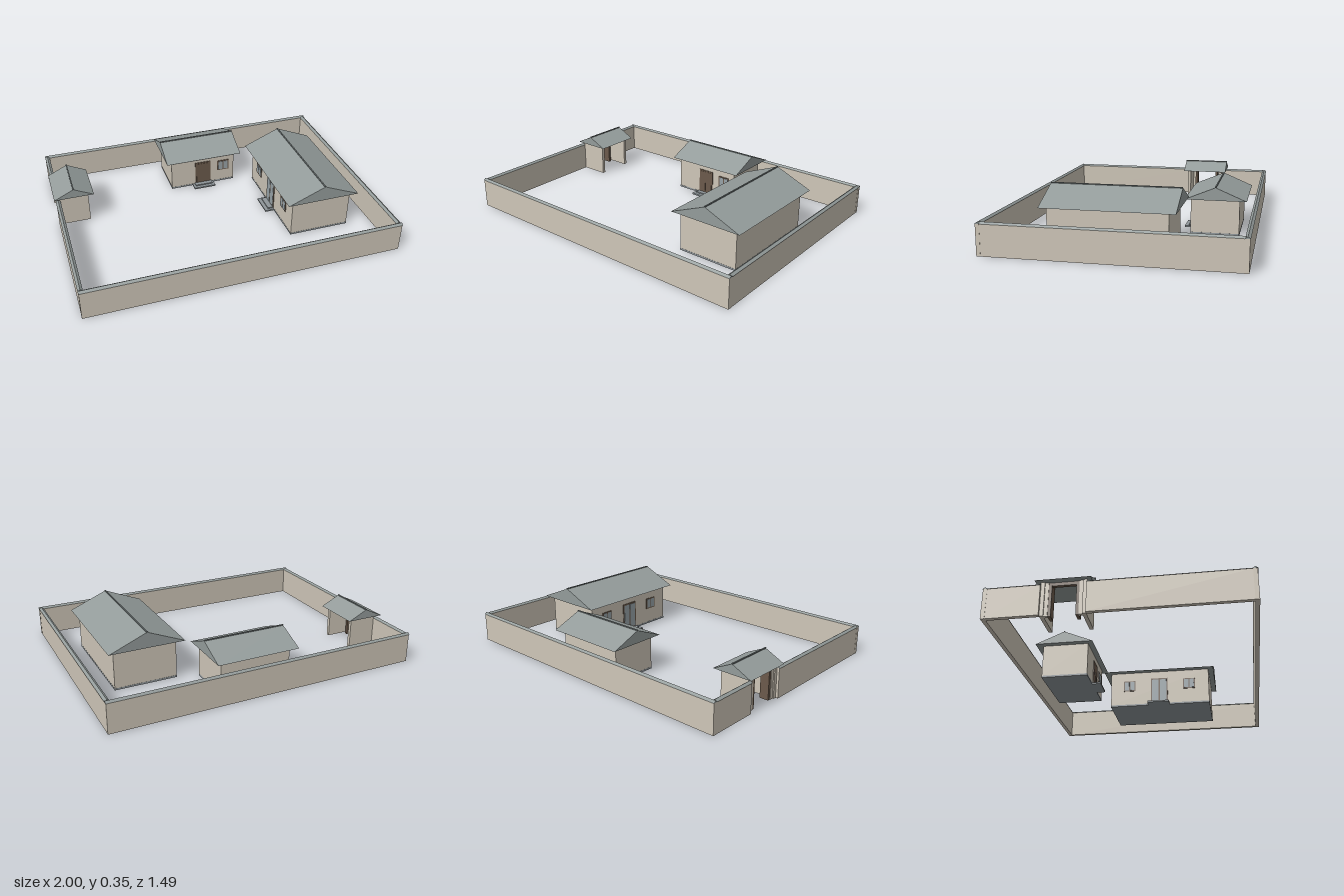
import * as THREE from 'three';

const mat = (name, color) => {
  const m = new THREE.MeshStandardMaterial({ color, flatShading: true });
  m.name = name;
  return m;
};

export function createModel() {
  const plaster = mat('plaster', 0xcec6b8);
  const slate = mat('slate', 0x949c9b);
  const ridgeTile = mat('ridgeTile', 0x747c7c);
  const stone = mat('stone', 0x8f969a);
  const wood = mat('wood', 0x6b5a4b);
  const glass = mat('glass', 0x98a3a8);

  const root = new THREE.Group();
  root.name = 'courtyard';

  const group = (name) => {
    const g = new THREE.Group();
    g.name = name;
    root.add(g);
    return g;
  };

  // Box given by its lower and upper corner
  const box = (parent, name, m, x0, x1, y0, y1, z0, z1) => {
    const mesh = new THREE.Mesh(new THREE.BoxGeometry(x1 - x0, y1 - y0, z1 - z0), m);
    mesh.position.set((x0 + x1) / 2, (y0 + y1) / 2, (z0 + z1) / 2);
    mesh.name = name;
    parent.add(mesh);
  };

  // Solid gable prism; the ridge runs along x or z
  const gable = (parent, name, axis, x0, x1, y0, y1, z0, z1) => {
    const alongX = axis === 'x';
    const half = (alongX ? z1 - z0 : x1 - x0) / 2;
    const length = alongX ? x1 - x0 : z1 - z0;
    const shape = new THREE.Shape();
    shape.moveTo(-half, 0);
    shape.lineTo(half, 0);
    shape.lineTo(0, y1 - y0);
    shape.closePath();
    const geo = new THREE.ExtrudeGeometry(shape, { depth: length, bevelEnabled: false });
    geo.translate(0, 0, -length / 2);
    if (alongX) geo.rotateY(Math.PI / 2);
    const mesh = new THREE.Mesh(geo, slate);
    mesh.name = name;
    mesh.position.set((x0 + x1) / 2, y0, (z0 + z1) / 2);
    parent.add(mesh);
  };

  // House roof: gable prism with a slim ridge cap
  const roof = (parent, axis, x0, x1, y0, y1, z0, z1) => {
    gable(parent, 'roof', axis, x0, x1, y0, y1, z0, z1);
    const cx = (x0 + x1) / 2, cz = (z0 + z1) / 2, c = 0.004;
    if (axis === 'x') box(parent, 'ridge', ridgeTile, x0, x1, y1 - 0.006, y1 + 0.004, cz - c, cz + c);
    else box(parent, 'ridge', ridgeTile, cx - c, cx + c, y1 - 0.006, y1 + 0.004, z0, z1);
  };

  // Perimeter wall with small gabled coping
  const wall = group('perimeterWall');
  const t = 0.012, k = 0.015, top = 0.184;
  for (const z of [-0.73, 0.73]) {
    box(wall, 'longWall', plaster, -0.988, 0.996, 0, top, z - t, z + t);
    gable(wall, 'coping', 'x', -0.99, 0.998, top, 0.195, z - k, z + k);
  }
  for (const [x, z0, z1] of [[0.983, -0.72, 0.72], [-0.975, -0.72, -0.42], [-0.975, -0.165, 0.72]]) {
    box(wall, 'sideWall', plaster, x - t, x + t, 0, top, z0, z1);
    gable(wall, 'coping', 'z', x - k, x + k, top, 0.195, z0, z1);
  }

  // Door and windows, built facing +z around x = 0 on the plane z = 0
  const facade = (doorTop, doorHalf, windows, windowY, panel) => {
    const g = new THREE.Group();
    g.name = 'facade';
    box(g, 'doorFrame', wood, -doorHalf, doorHalf, 0.016, doorTop, -0.002, 0.004);
    for (const s of [-1, 1]) {
      const c = s * doorHalf * 0.47, w = doorHalf * 0.38;
      box(g, 'doorLeaf', panel, c - w, c + w, 0.022, doorTop - 0.01, 0, 0.006);
    }
    for (const x of windows) {
      box(g, 'windowFrame', wood, x - 0.042, x + 0.042, windowY - 0.038, windowY + 0.038, -0.002, 0.004);
      for (const p of [-1, 1]) {
        const px = x + p * 0.019;
        box(g, 'windowPane', glass, px - 0.015, px + 0.015, windowY - 0.031, windowY + 0.031, 0, 0.006);
      }
    }
    return g;
  };

  // Main house, facing -x
  const main = group('mainHouse');
  box(main, 'plinth', stone, 0.412, 0.808, 0, 0.012, -0.297, 0.402);
  box(main, 'body', plaster, 0.413, 0.807, 0.012, 0.254, -0.296, 0.401);
  roof(main, 'z', 0.37, 0.847, 0.252, 0.351, -0.34, 0.437);
  box(main, 'lowerStep', stone, 0.352, 0.413, 0, 0.01, -0.028, 0.122);
  box(main, 'upperStep', stone, 0.375, 0.413, 0.01, 0.018, -0.012, 0.106);
  const mainFront = facade(0.2, 0.06, [-0.212, 0.212], 0.15, glass);
  mainFront.rotation.y = -Math.PI / 2;
  mainFront.position.set(0.413, 0, 0.05);
  main.add(mainFront);

  // Side house, facing +z
  const side = group('sideHouse');
  box(side, 'plinth', stone, -0.173, 0.283, 0, 0.012, -0.637, -0.338);
  box(side, 'body', plaster, -0.172, 0.282, 0.012, 0.224, -0.636, -0.339);
  roof(side, 'x', -0.21, 0.32, 0.222, 0.301, -0.68, -0.303);
  box(side, 'lowerStep', stone, -0.022, 0.13, 0, 0.01, -0.339, -0.282);
  box(side, 'upperStep', stone, -0.006, 0.114, 0.01, 0.018, -0.339, -0.305);
  const sideFront = facade(0.18, 0.055, [0.148], 0.13, wood);
  sideFront.position.set(0.054, 0, -0.339);
  side.add(sideFront);

  // Gatehouse: side walls, jambs and wooden posts under a small roof
  const gate = group('gatehouse');
  roof(gate, 'z', -1, -0.745, 0.207, 0.268, -0.45, -0.14);
  for (const s of [-1, 1]) {
    // Slab spanning two distances from the gate's middle line
    const slab = (name, m, x0, x1, y1, a, b) => {
      const z = -0.2925;
      box(gate, name, m, x0, x1, 0, y1, z + Math.min(s * a, s * b), z + Math.max(s * a, s * b));
    };
    slab('sideWall', plaster, -0.972, -0.78, 0.209, 0.106, 0.128);
    slab('jamb', plaster, -0.965, -0.945, 0.209, 0.085, 0.106);
    slab('post', wood, -0.962, -0.905, 0.209, 0.068, 0.085);
  }
  box(gate, 'lintel', wood, -0.96, -0.94, 0.187, 0.208, -0.361, -0.224);

  return root;
}
